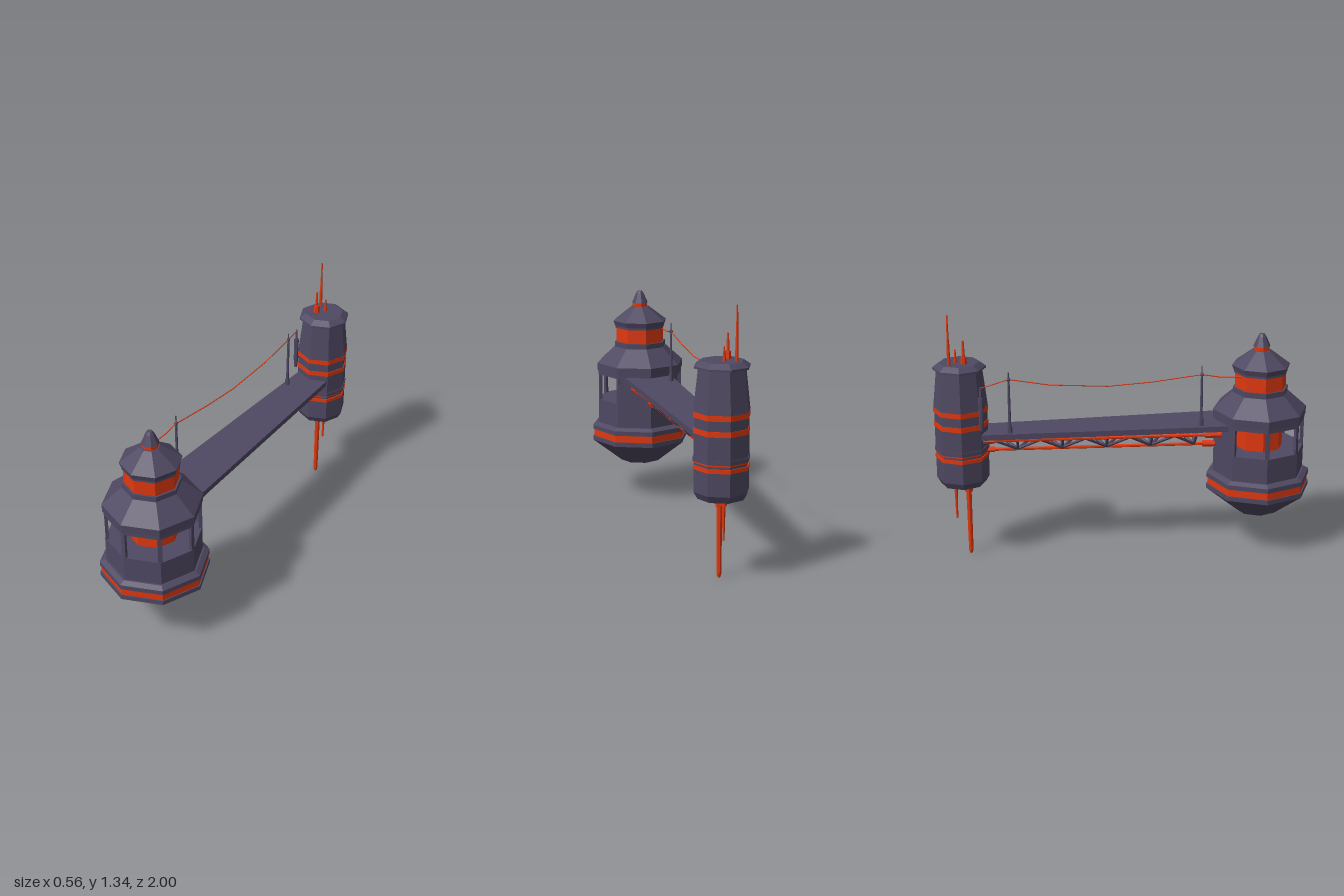
import * as THREE from 'three';

const dark = new THREE.MeshStandardMaterial({ color: 0x4f4862, flatShading: true });
const darkThin = new THREE.MeshStandardMaterial({ color: 0x4f4862, flatShading: true, side: THREE.DoubleSide });
const orange = new THREE.MeshStandardMaterial({ color: 0xe0380f, flatShading: true });

function add(parent, name, geometry, material) {
  const mesh = new THREE.Mesh(geometry, material);
  mesh.name = name;
  parent.add(mesh);
  return mesh;
}

// Faceted band between two heights: [name, y0, r0, y1, r1, material]
function stack(parent, bands, sides = 8) {
  for (const [name, y0, r0, y1, r1, mat] of bands) {
    add(parent, name, new THREE.CylinderGeometry(r1, r0, y1 - y0, sides), mat).position.y = (y0 + y1) / 2;
  }
}

// Straight rod between two points
function rod(parent, name, a, b, r, mat, sides = 6) {
  const dir = b.clone().sub(a);
  const mesh = add(parent, name, new THREE.CylinderGeometry(r, r, dir.length(), sides), mat);
  mesh.position.copy(a).add(b).multiplyScalar(0.5);
  mesh.quaternion.setFromUnitVectors(new THREE.Vector3(0, 1, 0), dir.normalize());
  return mesh;
}

const v = (x, y, z) => new THREE.Vector3(x, y, z);

function group(parent, name, x, z) {
  const g = new THREE.Group();
  g.name = name;
  g.position.set(x, 0, z);
  parent.add(g);
  return g;
}

function buildControlTower(root) {
  const g = group(root, 'controlTower', 0, 0.72);
  stack(g, [
    ['hullBottom', 0.2, 0.115, 0.33, 0.28, dark],
    ['lowerRim', 0.33, 0.28, 0.355, 0.28, dark],
    ['lowerStripe', 0.355, 0.273, 0.395, 0.273, orange],
    ['upperRim', 0.395, 0.28, 0.42, 0.28, dark],
    ['rimBevel', 0.42, 0.28, 0.435, 0.255, dark],
    ['lowerWall', 0.435, 0.245, 0.57, 0.245, dark],
    ['cabinCore', 0.57, 0.127, 0.715, 0.127, orange],
    ['windowHeader', 0.715, 0.245, 0.738, 0.245, dark],
    ['eave', 0.738, 0.25, 0.78, 0.252, dark],
    ['lowerRoof', 0.78, 0.252, 0.872, 0.15, dark],
    ['lanternBase', 0.872, 0.148, 0.9, 0.148, dark],
    ['lantern', 0.9, 0.137, 0.98, 0.137, orange],
    ['lanternFlare', 0.98, 0.143, 0.992, 0.143, dark],
    ['lanternEave', 0.992, 0.145, 1.02, 0.155, dark],
    ['upperRoof', 1.02, 0.155, 1.1, 0.05, dark],
    ['finialRing', 1.1, 0.042, 1.12, 0.042, orange],
    ['finial', 1.12, 0.046, 1.172, 0.023, dark],
    ['finialTip', 1.172, 0.023, 1.187, 0.013, dark],
  ]);
  // Solid rear wall where the bridge joins, open windows elsewhere
  add(g, 'rearWall', new THREE.CylinderGeometry(0.245, 0.245, 0.145, 2, 1, true, Math.PI * 0.75, Math.PI / 2), darkThin)
    .position.y = 0.6425;
  for (let i = -3; i <= 3; i++) {
    const a = i * Math.PI / 4;
    const post = add(g, 'windowPost', new THREE.BoxGeometry(0.022, 0.147, 0.016), dark);
    post.position.set(Math.sin(a) * 0.234, 0.6425, Math.cos(a) * 0.234);
    post.rotation.y = a;
  }
}

function buildRearTower(root) {
  const g = group(root, 'rearTower', 0, -0.86);
  stack(g, [
    ['baseBevel', 0.42, 0.118, 0.455, 0.138, dark],
    ['lowerBody', 0.455, 0.138, 0.568, 0.138, dark],
    ['lowerStripe', 0.568, 0.141, 0.588, 0.141, orange],
    ['lowerGroove', 0.588, 0.135, 0.6, 0.135, dark],
    ['thinStripe', 0.6, 0.139, 0.608, 0.139, orange],
    ['lowerBand', 0.608, 0.142, 0.63, 0.142, dark],
    ['midBody', 0.63, 0.138, 0.742, 0.138, dark],
    ['midStripe', 0.742, 0.141, 0.768, 0.141, orange],
    ['midBand', 0.768, 0.137, 0.818, 0.137, dark],
    ['upperStripe', 0.818, 0.142, 0.845, 0.142, orange],
    ['upperBody', 0.845, 0.141, 1.05, 0.118, dark],
    ['capRim', 1.05, 0.138, 1.06, 0.138, dark],
    ['capTop', 1.06, 0.138, 1.083, 0.105, dark],
  ]);

  // Roof antennas
  for (const [x, z, r, top, baseR, baseTop] of [
    [-0.055, -0.05, 0.006, 1.347, 0.009, 1.2],
    [-0.035, 0.025, 0.008, 1.205, 0.018, 1.12],
    [-0.004, -0.017, 0.006, 1.15, 0.01, 1.1],
  ]) {
    const a = group(g, 'roofAntenna', x, z);
    stack(a, [
      ['antennaBase', 1.07, baseR, baseTop, baseR * 0.8, orange],
      ['antennaRod', baseTop, r, top, r * 0.6, orange],
    ], 6);
  }

  // Probes hanging underneath
  const probe = group(g, 'mainProbe', 0, 0.025);
  stack(probe, [
    ['probeCollar', 0.365, 0.02, 0.425, 0.024, orange],
    ['probeRod', 0.025, 0.012, 0.365, 0.014, orange],
    ['probeTip', 0.007, 0.006, 0.025, 0.012, orange],
  ]);
  const small = group(g, 'smallProbe', 0, -0.042);
  stack(small, [
    ['probeCollar', 0.39, 0.016, 0.425, 0.018, orange],
    ['probeRod', 0.215, 0.005, 0.39, 0.009, orange],
  ], 6);
}

function buildBridge(root) {
  const g = group(root, 'bridge', 0, 0);
  // Tapered, gently sloping deck
  const z0 = 0.53, z1 = -0.76;
  const deck = new THREE.BoxGeometry(2, 0.03, z0 - z1);
  const p = deck.attributes.position;
  for (let i = 0; i < p.count; i++) {
    const front = p.getZ(i) > 0;
    p.setX(i, p.getX(i) * (front ? 0.132 : 0.092));
    p.setY(i, p.getY(i) + (front ? 0.71 : 0.695));
  }
  add(g, 'deck', deck, dark).position.z = (z0 + z1) / 2;

  // Two upper chords and one central lower chord
  const upper = (s, z) => v(s * (0.078 + 0.025 * z), 0.667, z);
  const lower = z => v(0, 0.59 - 0.01 * z, z);
  const chords = [z => upper(-1, z), z => upper(1, z), lower];
  for (const at of chords) {
    rod(g, 'chord', at(0.5), at(-0.76), 0.009, orange);
    rod(g, 'chordSocket', at(0.5), at(0.415), 0.018, orange, 8);
    rod(g, 'chordSocket', at(-0.69), at(-0.75), 0.016, orange, 8);
  }

  // Triangular bracing on both sides
  const step = 0.235;
  for (let i = 0; i < 5; i++) {
    const z = 0.37 - i * step;
    for (const s of [-1, 1]) {
      rod(g, 'truss post', lower(z), upper(s, z), 0.007, dark);
      rod(g, 'truss diagonal', lower(z), upper(s, z - step / 2), 0.008, dark);
      if (i > 0) rod(g, 'truss diagonal', lower(z), upper(s, z + step / 2), 0.008, dark);
    }
    rod(g, 'crossBar', upper(-1, z), upper(1, z), 0.007, dark);
  }
}

function buildCableLine(root) {
  const g = group(root, 'cableLine', 0, 0);
  for (const [x, z, y, top] of [[-0.095, 0.39, 0.715, 1.05], [-0.072, -0.61, 0.7, 1.04]]) {
    const pole = group(g, 'cablePole', x, z);
    stack(pole, [
      ['poleFoot', y, 0.014, y + 0.05, 0.012, dark],
      ['poleShaft', y + 0.05, 0.008, 0.99, 0.006, dark],
      ['poleTip', 0.99, 0.004, top, 0.003, dark],
    ], 6);
    add(pole, 'insulator', new THREE.SphereGeometry(0.011, 6, 4), dark).position.y = 1.003;
  }
  // Anchor post beside the rear tower
  const anchor = group(g, 'anchorPost', -0.11, -0.755);
  stack(anchor, [
    ['anchorFoot', 0.74, 0.008, 0.79, 0.013, dark],
    ['anchorBody', 0.79, 0.013, 0.92, 0.013, dark],
    ['anchorTip', 0.92, 0.007, 0.98, 0.005, dark],
  ], 6);

  // Sagging cable
  const points = [
    v(-0.1, 0.985, 0.6), v(-0.098, 0.988, 0.48), v(-0.095, 1.003, 0.39), v(-0.09, 0.97, 0.13),
    v(-0.085, 0.953, -0.1), v(-0.078, 0.968, -0.4), v(-0.072, 1.003, -0.61), v(-0.11, 0.972, -0.755),
  ];
  for (let i = 1; i < points.length; i++) rod(g, 'cable', points[i - 1], points[i], 0.003, orange, 5);
}

export function createModel() {
  const root = new THREE.Group();
  root.name = 'outpost';
  buildControlTower(root);
  buildRearTower(root);
  buildBridge(root);
  buildCableLine(root);
  return root;
}
